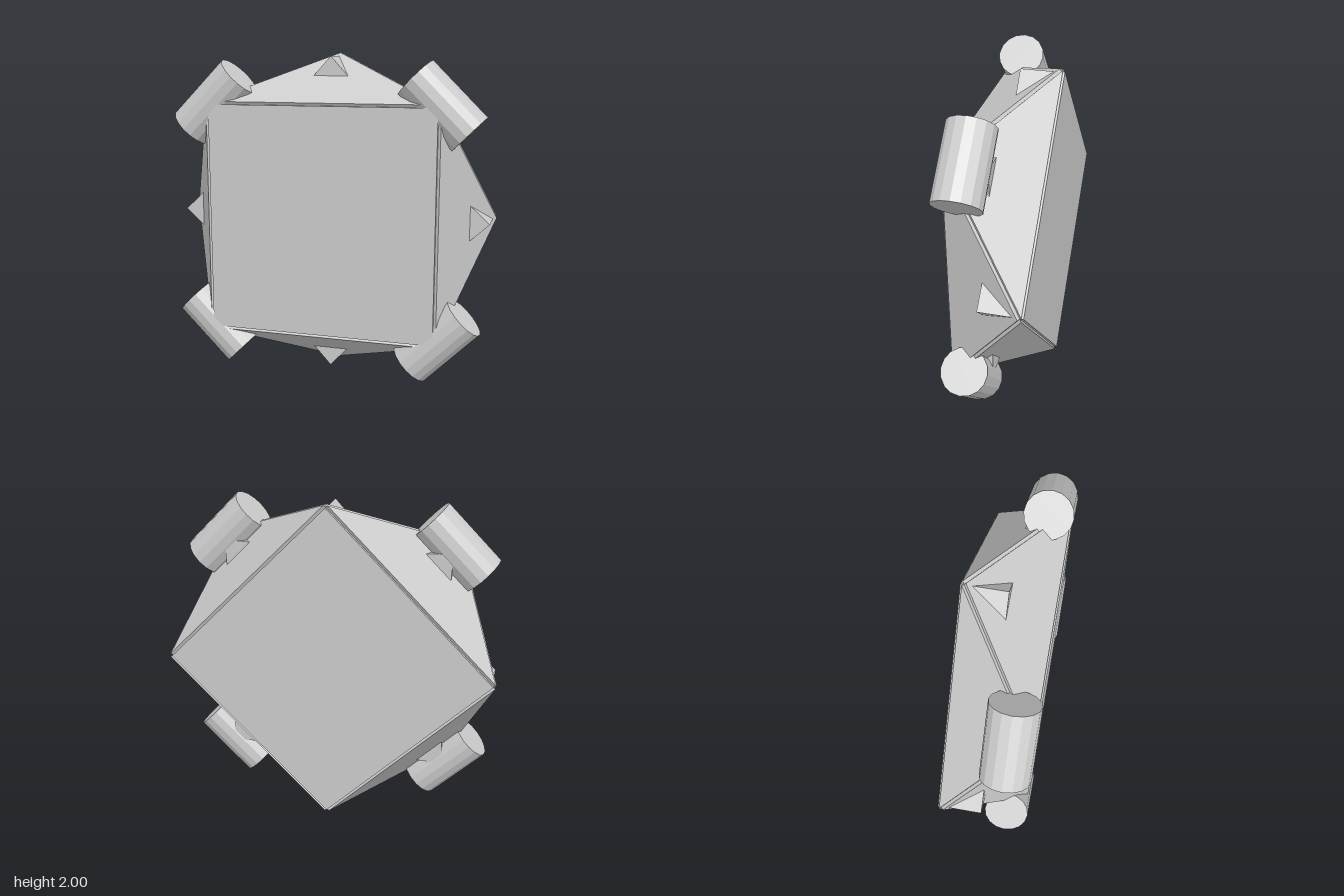
import * as THREE from 'three';
import { ConvexGeometry } from 'three/addons/geometries/ConvexGeometry.js';

const R = 0.983;      // corner radius of the inner antiprism
const H = 0.235;      // half its depth
const T = 0.02;       // panel thickness
const Q = Math.PI / 2;

const material = new THREE.MeshStandardMaterial({ color: 0xcccccc, flatShading: true });

function part(geometry, name) {
  const mesh = new THREE.Mesh(geometry, material);
  mesh.name = name;
  return mesh;
}

const corner = (angle, z) => new THREE.Vector3(R * Math.cos(angle), R * Math.sin(angle), z);

// Flat panel over a polygon (counter-clockwise from outside), thickened outward
function panel(points, name) {
  const [o, a, b] = points;
  const u = a.clone().sub(o).normalize();
  const n = u.clone().cross(b.clone().sub(o)).normalize();
  const v = n.clone().cross(u);
  const outline = points.map((p) => {
    const d = p.clone().sub(o);
    return new THREE.Vector2(d.dot(u), d.dot(v));
  });
  const geometry = new THREE.ExtrudeGeometry(new THREE.Shape(outline), { depth: T, bevelEnabled: false });
  geometry.applyMatrix4(new THREE.Matrix4().makeBasis(u, v, n).setPosition(o));
  return part(geometry, name);
}

// One square panel with its four triangular side panels and spikes
function shellHalf(name) {
  const half = new THREE.Group();
  half.name = name;
  half.add(panel([0, 1, 2, 3].map((k) => corner(Q * (k + 0.5), H)), 'squarePanel'));
  const spikeGeometry = new ConvexGeometry([
    new THREE.Vector3(0.86, -0.11, 0),
    new THREE.Vector3(0.86, 0.11, 0),
    new THREE.Vector3(0.98, 0, 0),
    new THREE.Vector3(0.98, 0, -0.2),
  ]);
  for (let k = 0; k < 4; k++) {
    const a = k * Q;
    half.add(panel([corner(a + Q / 2, H), corner(a - Q / 2, H), corner(a, -H)], 'sidePanel'));
    const spike = part(spikeGeometry, 'spike');
    spike.rotation.z = a;
    half.add(spike);
  }
  return half;
}

export function createModel() {
  const model = new THREE.Group();
  model.name = 'antiprismPod';

  const shell = new THREE.Group();
  shell.name = 'shell';
  shell.position.set(0, 1, -0.005);
  const front = shellHalf('frontHalf');
  // The back half is the front one turned over about a 22.5 degree axis
  const back = shellHalf('backHalf');
  const axis = new THREE.Vector3(Math.cos(Math.PI / 8), Math.sin(Math.PI / 8), 0);
  back.quaternion.setFromAxisAngle(axis, Math.PI);
  shell.add(front, back);
  model.add(shell);

  // Cylinders lying across the four front corners
  const cylinder = new THREE.CylinderGeometry(0.14, 0.14, 0.449, 16);
  for (let k = 0; k < 4; k++) {
    const a = Q * (k + 0.5);
    const mesh = part(cylinder, 'cornerCylinder');
    mesh.position.set(0.99 * Math.cos(a), 1 + 0.99 * Math.sin(a), 0.12);
    mesh.rotation.z = a;
    model.add(mesh);
  }
  return model;
}
